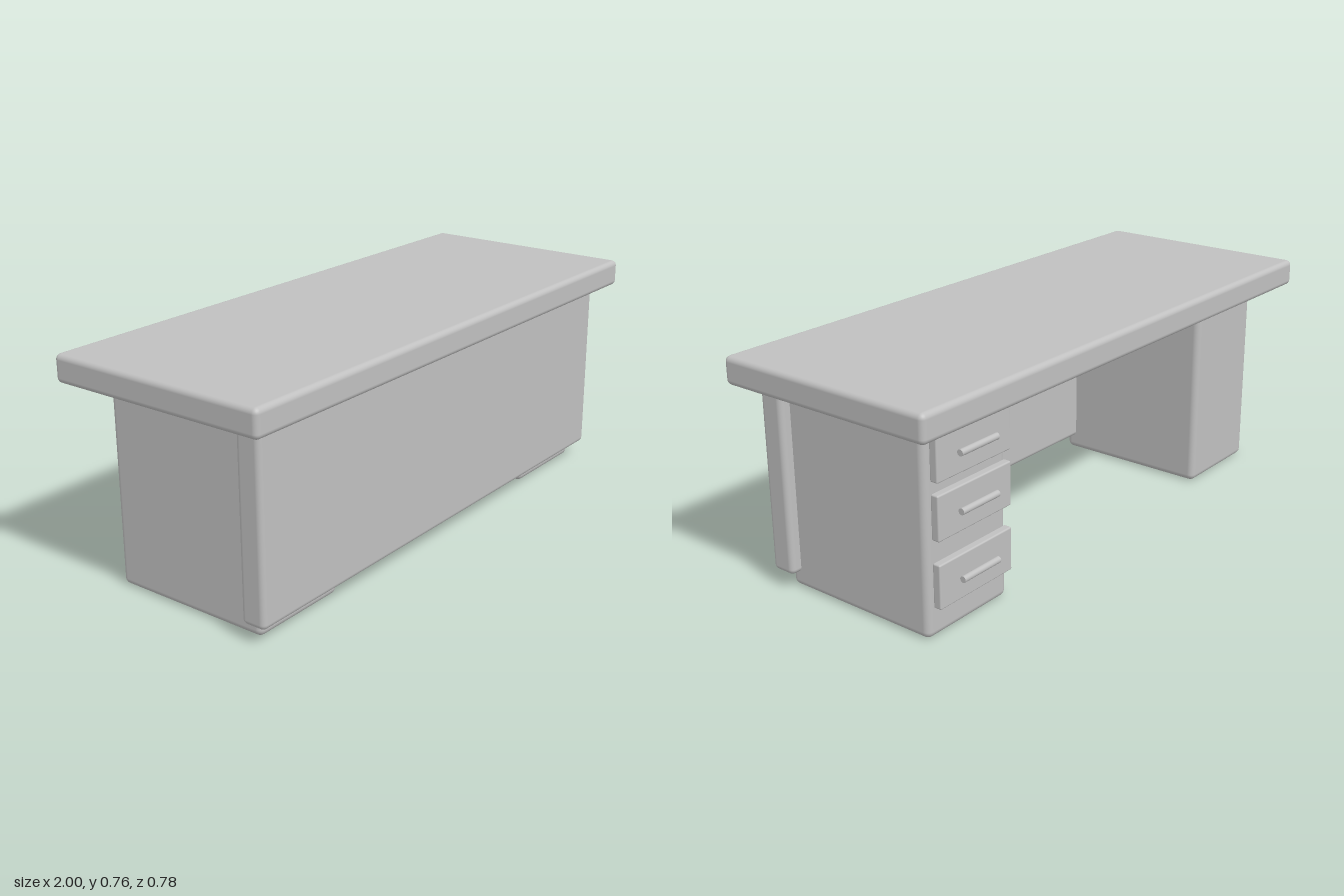
import * as THREE from 'three';
import { RoundedBoxGeometry } from 'three/addons/geometries/RoundedBoxGeometry.js';

export function createModel() {
  const desk = new THREE.Group();
  desk.name = 'desk';
  const grey = new THREE.MeshStandardMaterial({ color: 0xc0c0c0 });
  grey.name = 'plain grey';

  // Rounded box given by its extents on each axis
  function slab(name, [x0, x1], [y0, y1], [z0, z1], radius) {
    const geometry = new RoundedBoxGeometry(x1 - x0, y1 - y0, z1 - z0, 3, radius);
    const mesh = new THREE.Mesh(geometry, grey);
    mesh.name = name;
    mesh.position.set((x0 + x1) / 2, (y0 + y1) / 2, (z0 + z1) / 2);
    desk.add(mesh);
    return mesh;
  }

  // Worktop and front modesty panel
  slab('worktop', [-1, 1], [0.666, 0.757], [-0.392, 0.392], 0.018);
  slab('frontPanel', [-0.927, 0.927], [0.052, 0.69], [0.243, 0.33], 0.018);

  // Pedestals on both sides
  const inner = 0.535, outer = 0.89;
  slab('leftPedestal', [inner, outer], [0, 0.675], [-0.285, 0.285], 0.022);
  slab('rightPedestal', [-outer, -inner], [0, 0.675], [-0.285, 0.285], 0.022);

  // Drawer fronts with bar handles on the back of the left pedestal
  const centre = (inner + outer) / 2;
  for (const y of [0.176, 0.39, 0.569]) {
    slab('drawerFront', [centre - 0.16, centre + 0.16], [y - 0.071, y + 0.071], [-0.32, -0.292], 0.005);

    const handle = new THREE.Mesh(new THREE.CylinderGeometry(0.0105, 0.0105, 0.16, 24), grey);
    handle.name = 'drawerHandle';
    handle.rotation.z = Math.PI / 2;
    handle.position.set(centre, y, -0.335);
    desk.add(handle);
  }

  return desk;
}
